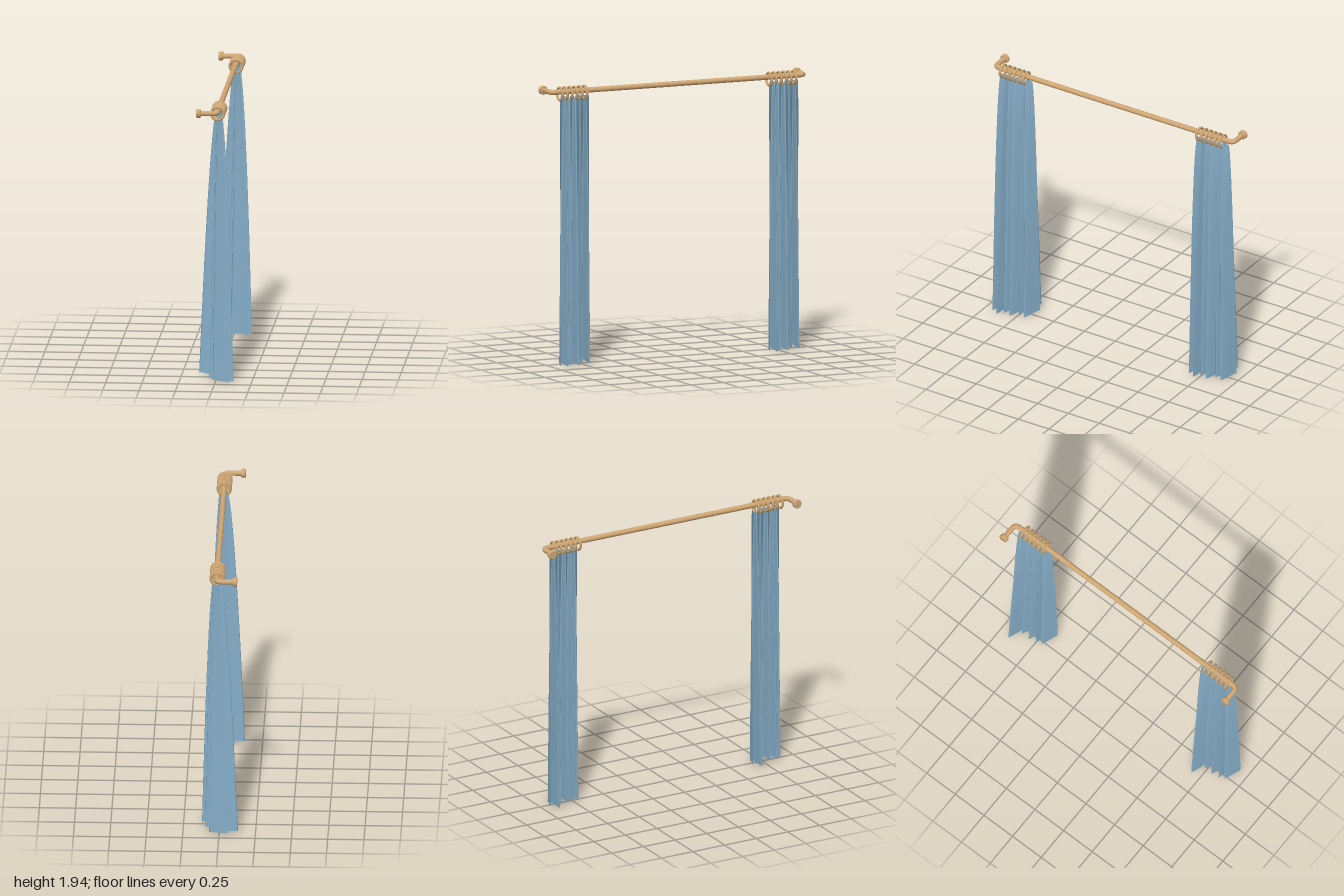
import * as THREE from 'three';

const ROD_X = 0.015, ROD_Y = 1.897, ARM_Z = 0.968;
const wood = new THREE.MeshStandardMaterial({ color: 0xcfa673 });
const cloth = new THREE.MeshStandardMaterial({ color: 0x86aec8, side: THREE.DoubleSide });

// Fold tips of the cloth along its hem: [x, z]
const FOLDS = [
  [-0.06, -0.148], [0.07, -0.098], [-0.13, -0.115], [0.055, -0.05], [-0.045, -0.06], [0.1, 0],
  [-0.05, 0], [0.09, 0.05], [-0.04, 0.055], [0.125, 0.09], [-0.02, 0.09], [0.1, 0.138],
];
const RING_STEP = 0.0377, RING_FIRST = -0.084;

function add(parent, name, geometry, material) {
  const mesh = new THREE.Mesh(geometry, material);
  mesh.name = name;
  parent.add(mesh);
  return mesh;
}

// Pleated sheet: gathered tight under the rings, flaring towards the hem
function curtainGeometry() {
  const hem = new THREE.CatmullRomCurve3(FOLDS.map(([x, z]) => new THREE.Vector3(x, 0, z)));
  hem.arcLengthDivisions = 600;
  const cols = 220, rows = 28;
  const points = hem.getSpacedPoints(cols);
  const geometry = new THREE.PlaneGeometry(1, 1, cols, rows);
  const pos = geometry.attributes.position;
  for (let r = 0; r <= rows; r++) {
    const t = (r / rows) ** 1.5;
    const flareX = 0.21 + 0.79 * t ** 0.6;
    const flareZ = 0.8 + 0.2 * t ** 0.35;
    for (let c = 0; c <= cols; c++) {
      const p = points[c];
      const z = p.z * flareZ;
      // the top edge sags between rings
      const sag = 0.013 * (1 - Math.cos((2 * Math.PI * (z - RING_FIRST)) / RING_STEP));
      const top = 1.87 - sag, bottom = Math.max(0, 0.01 - 0.08 * p.x);
      pos.setXYZ(r * (cols + 1) + c, p.x * flareX + ROD_X * (1 - t), top + (bottom - top) * t, z);
    }
  }
  geometry.computeVertexNormals();
  return geometry;
}

export function createModel() {
  const model = new THREE.Group();
  model.name = 'curtainRodWithCurtains';

  // Straight rod
  const rod = add(model, 'rod', new THREE.CylinderGeometry(0.0185, 0.0185, 1.87, 24), wood);
  rod.rotation.x = Math.PI / 2;
  rod.position.set(ROD_X, ROD_Y, 0);

  // Bent ends with wall plates
  for (const side of [1, -1]) {
    const bracket = new THREE.Group();
    bracket.name = side > 0 ? 'frontBracket' : 'backBracket';
    const at = (x, z) => new THREE.Vector3(x, ROD_Y, side * z);
    const bend = new THREE.QuadraticBezierCurve3(at(ROD_X, 0.93), at(ROD_X, ARM_Z), at(ROD_X - 0.038, ARM_Z));
    add(bracket, 'elbow', new THREE.TubeGeometry(bend, 12, 0.018, 20), wood);
    const arm = add(bracket, 'arm', new THREE.CylinderGeometry(0.018, 0.018, 0.085, 20), wood);
    arm.rotation.z = Math.PI / 2;
    arm.position.copy(at(-0.0645, ARM_Z));
    const profile = [[0, 0], [0.028, 0], [0.028, 0], [0.031, 0.004], [0.031, 0.004], [0.031, 0.025],
      [0.031, 0.025], [0.027, 0.031], [0.027, 0.031], [0, 0.031]];
    const plate = add(bracket, 'wallPlate',
      new THREE.LatheGeometry(profile.map(([x, y]) => new THREE.Vector2(x, y)), 28), wood);
    plate.rotation.z = -Math.PI / 2;
    plate.position.copy(at(-0.126, ARM_Z));
    model.add(bracket);
  }

  // Two identical curtains, each hung from six rings
  const sheet = curtainGeometry();
  const ringGeometry = new THREE.TorusGeometry(0.044, 0.0085, 12, 32);
  for (const [name, z] of [['frontCurtain', 0.797], ['backCurtain', -0.801]]) {
    const group = new THREE.Group();
    group.name = name;
    group.position.z = z;
    add(group, 'cloth', sheet, cloth);
    for (let i = 0; i < 6; i++) {
      add(group, 'ring', ringGeometry, wood).position.set(ROD_X, 1.883, RING_FIRST + i * RING_STEP);
    }
    model.add(group);
  }
  return model;
}
